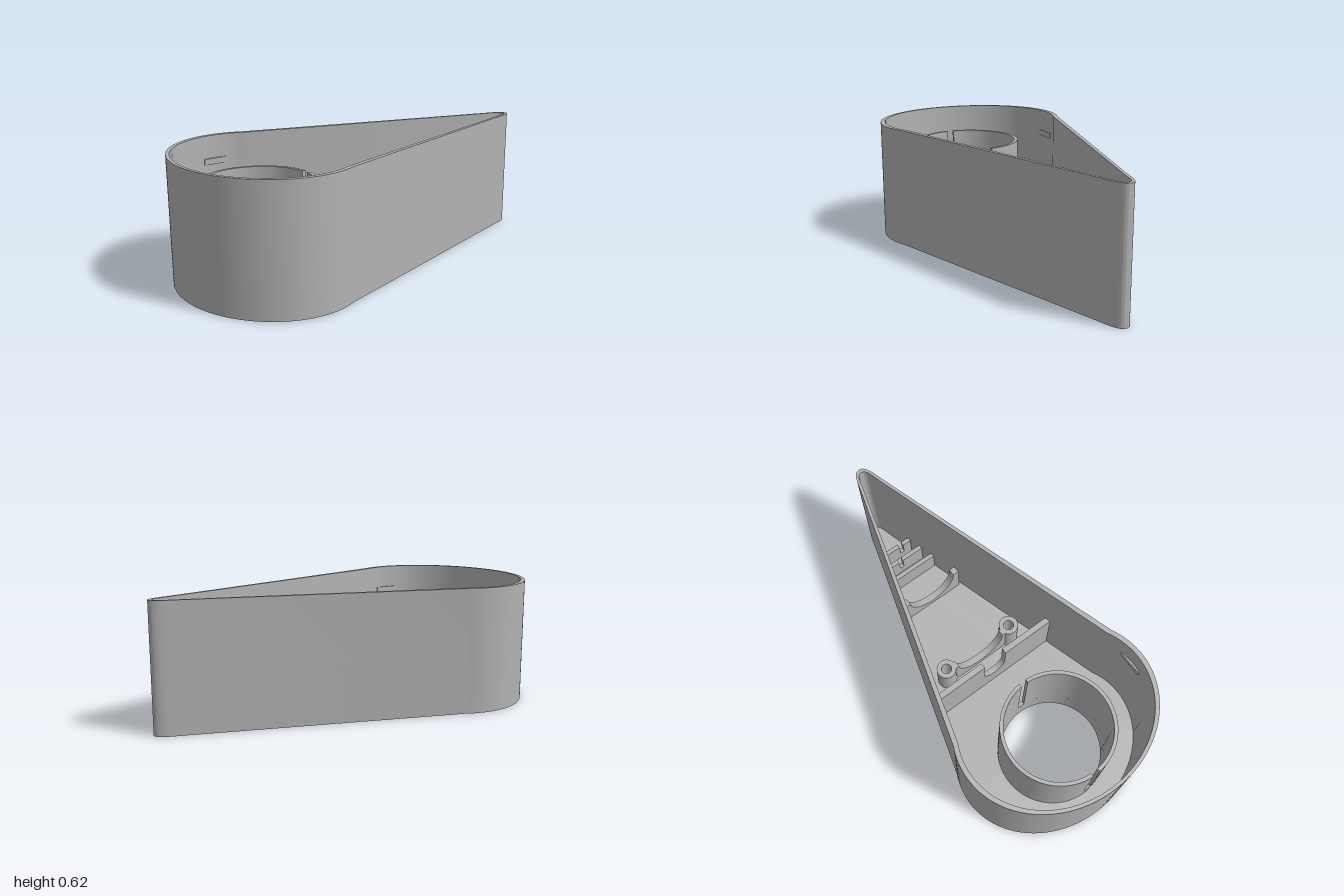
import * as THREE from 'three';
import { toCreasedNormals } from 'three/addons/utils/BufferGeometryUtils.js';

const FLOOR = 0.03, HEIGHT = 0.62;
const TUBE_Z = 0.615, TUBE_TOP = 0.495, TUBE_R = 0.275, BORE_R = 0.257;

export function createModel() {
  const group = new THREE.Group();
  const grey = new THREE.MeshStandardMaterial({ color: 0xb2b2b2 });
  grey.name = 'plainGrey';

  const add = (name, geometry) => {
    const mesh = new THREE.Mesh(geometry, grey);
    mesh.name = name;
    group.add(mesh);
    return mesh;
  };

  // Extrude a plan shape (drawn with y = -z) upward from y0 to y1
  const rise = (name, shape, y0, y1) => {
    const g = new THREE.ExtrudeGeometry(shape, { depth: y1 - y0, bevelEnabled: false, curveSegments: 48 });
    g.rotateX(-Math.PI / 2).translate(0, y0, 0);
    return add(name, toCreasedNormals(g, 0.5));
  };

  // Teardrop plan, shrunk by an inset
  const teardrop = (inset, Type = THREE.Shape) => {
    const rx = 0.496 - inset * 1.2, rz = 0.42 - inset * 0.8;
    const a = Math.asin(0.16 / rz);
    const sx = rx * Math.cos(a), tx = 0.068 - inset * 0.8, tz = 0.87;
    const s = new Type();
    s.moveTo(-sx, -0.42);
    s.absellipse(0, -0.58, rx, rz, Math.PI - a, Math.PI * 2 + a, false, 0);
    s.lineTo(tx, tz);
    s.bezierCurveTo(tx - 0.02, tz + 0.07, tx * 0.55, 1 - inset, 0, 1 - inset);
    s.bezierCurveTo(-tx * 0.55, 1 - inset, -tx + 0.02, tz + 0.07, -tx, tz);
    s.closePath();
    return s;
  };
  const circle = (x, z, r) => new THREE.Path().absarc(x, -z, r, 0, Math.PI * 2, true);

  // Floor with the round opening, and the outer wall
  const floor = teardrop(0);
  floor.holes.push(circle(0, TUBE_Z, BORE_R));
  rise('floor', floor, 0, FLOOR);
  const wall = teardrop(0);
  wall.holes.push(teardrop(0.02, THREE.Path));
  rise('outerWall', wall, FLOOR, HEIGHT);

  // Inner tube: closed ring below, two halves separated by slots above
  const ring = new THREE.Shape().absarc(0, -TUBE_Z, TUBE_R, 0, Math.PI * 2, false);
  ring.holes.push(circle(0, TUBE_Z, BORE_R));
  rise('tubeBase', ring, FLOOR, 0.12);
  const gap = 0.07;
  for (const start of [-Math.PI / 2, Math.PI / 2]) {
    const half = new THREE.Shape();
    half.absarc(0, -TUBE_Z, TUBE_R, start + gap, start + Math.PI - gap, false);
    half.absarc(0, -TUBE_Z, BORE_R, start + Math.PI - gap, start + gap, true);
    half.closePath();
    rise('tubeHalf', half, 0.12, TUBE_TOP);
  }

  // Upright plate across x with a notch in its top edge
  const plate = (name, halfW, top, z, thick, notch) => {
    const s = new THREE.Shape();
    s.moveTo(-halfW, FLOOR);
    s.lineTo(halfW, FLOOR);
    s.lineTo(halfW, top);
    if (notch) {
      const { x = 0, r, y, round } = notch;
      s.lineTo(x + r, top);
      if (round) s.absarc(x, y, r, 0, -Math.PI, true);
      else s.lineTo(x + r, y).lineTo(x - r, y);
      s.lineTo(x - r, top);
    }
    s.lineTo(-halfW, top);
    s.closePath();
    const g = new THREE.ExtrudeGeometry(s, { depth: thick, bevelEnabled: false, curveSegments: 24 });
    g.translate(0, 0, z - thick / 2);
    add(name, toCreasedNormals(g, 0.5));
  };
  const reach = (z) => 0.458 - 0.302 * (0.42 - z) - 0.014;

  // Cross wall with shaft notch, and two cradles
  plate('crossWall', reach(0.105), 0.32, 0.12, 0.03, { r: 0.065, y: 0.2, round: true });
  plate('frontCradle', 0.165, 0.2, 0, 0.036, { r: 0.14, y: 0.2, round: true });
  plate('rearCradle', 0.172, 0.2, -0.43, 0.036, { r: 0.14, y: 0.2, round: true });

  // Low ribs near the tip
  plate('tipRib', reach(-0.61), 0.15, -0.598, 0.022);
  plate('tipRib', reach(-0.69), 0.15, -0.675, 0.022, { x: -0.027, r: 0.012, y: 0.08 });
  plate('tipRib', reach(-0.765), 0.15, -0.75, 0.022, { x: 0.027, r: 0.012, y: 0.08 });

  // Screw bosses and lid catches, mirrored
  for (const side of [-1, 1]) {
    const boss = new THREE.Shape().absarc(side * 0.2, 0.01, 0.05, 0, Math.PI * 2, false);
    boss.holes.push(circle(side * 0.2, -0.01, 0.026));
    rise('screwBoss', boss, FLOOR, 0.2);
    const lug = add('lidCatch', new THREE.BoxGeometry(0.02, 0.03, 0.13));
    lug.position.set(side * 0.472, 0.49, 0.575);
  }
  return group;
}
